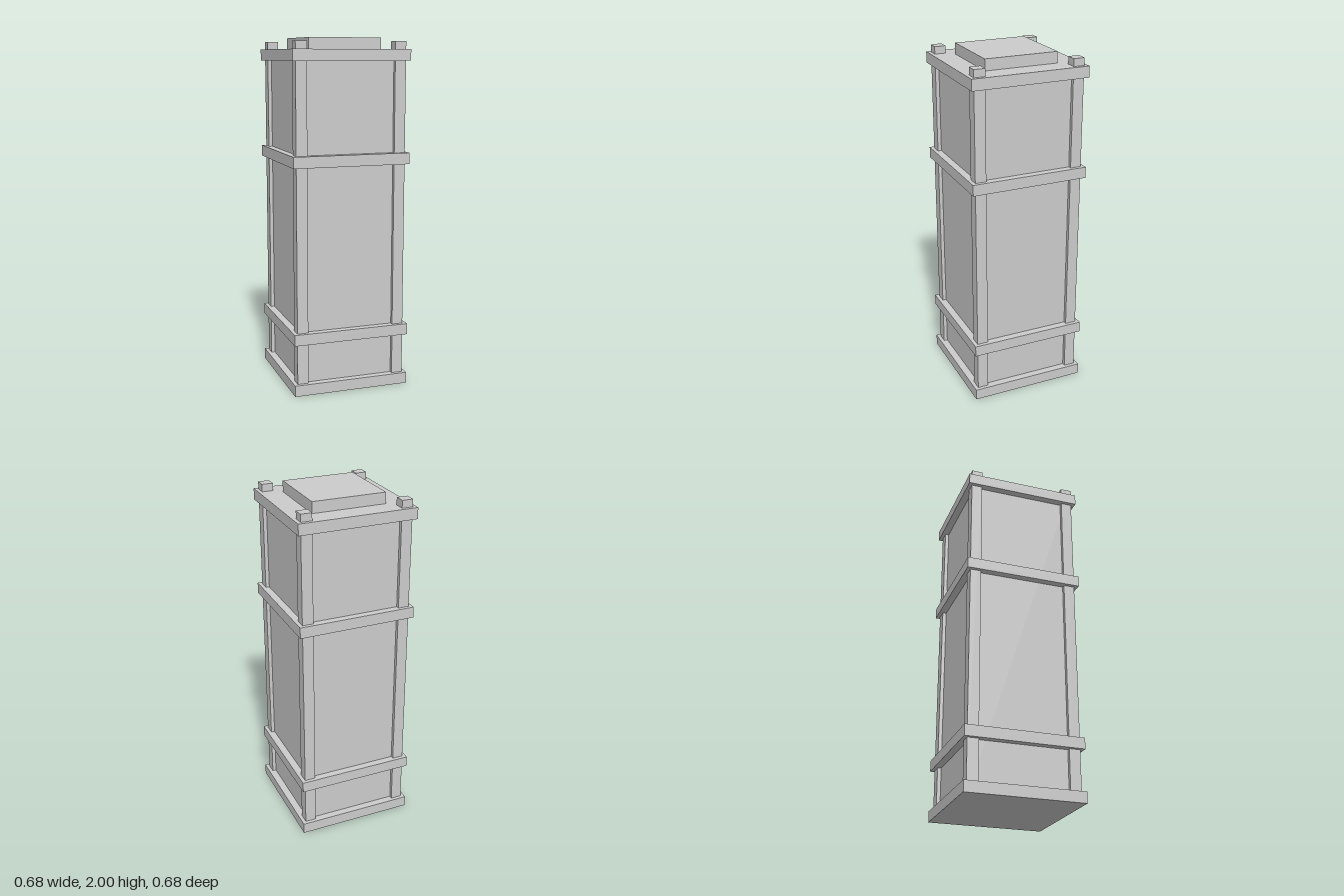
import * as THREE from 'three';

// Everything sits on a regular grid: 94 steps make the full height of 2.
const U = 2 / 94;

export function createModel() {
  const group = new THREE.Group();
  const material = new THREE.MeshStandardMaterial({ color: 0xcccccc, flatShading: true });

  // Square box given by its half width, bottom and top, in grid steps
  const addBox = (name, half, bottom, top, x = 0, z = 0) => {
    const geometry = new THREE.BoxGeometry(2 * half * U, (top - bottom) * U, 2 * half * U);
    const mesh = new THREE.Mesh(geometry, material);
    mesh.name = name;
    mesh.position.set(x * U, ((bottom + top) / 2) * U, z * U);
    group.add(mesh);
  };

  // Recessed panelled core
  addBox('body', 14, 1, 90);

  // Plates and bands wrapping the column
  addBox('basePlate', 16, 0, 3);
  addBox('lowerBand', 16, 14, 17);
  addBox('upperBand', 16, 61, 64);
  addBox('topPlate', 16, 88, 91);

  // Raised block on the lid
  addBox('topBlock', 10, 91, 94);

  // Corner posts, poking out above the top plate
  for (const [x, xName] of [[1, 'Left'], [-1, 'Right']]) {
    for (const [z, zName] of [[1, 'front'], [-1, 'back']]) {
      addBox(`${zName}${xName}Post`, 1.5, 1, 93, 13.5 * x, 13.5 * z);
    }
  }
  return group;
}
